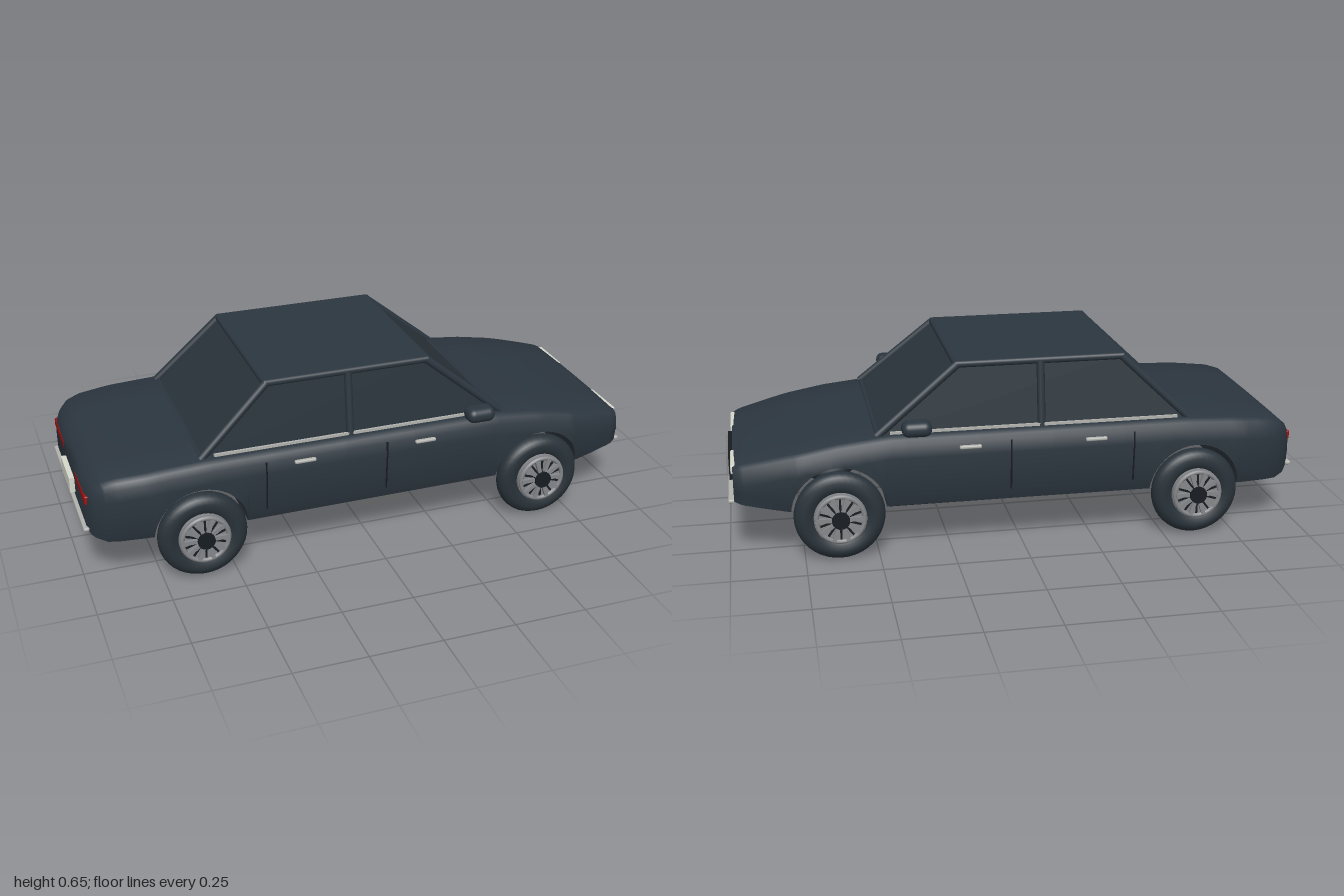
import * as THREE from 'three';
import { toCreasedNormals } from 'three/addons/utils/BufferGeometryUtils.js';
import { RoundedBoxGeometry } from 'three/addons/geometries/RoundedBoxGeometry.js';

const mat = (name, color) => {
  const m = new THREE.MeshStandardMaterial({ color });
  m.name = name;
  return m;
};

// Linear lookup in a short list of [x, value] pairs
function lookup(keys, x) {
  if (x <= keys[0][0]) return keys[0][1];
  for (let i = 1; i < keys.length; i++) {
    const [x0, a] = keys[i - 1], [x1, b] = keys[i];
    if (x <= x1) return a + (b - a) * (x - x0) / (x1 - x0);
  }
  return keys[keys.length - 1][1];
}

const WHEELS = [-0.61, 0.63], ARCH_R = 0.16, ARCH_Y = 0.167;
const TOP = [[-0.98, 0.325], [-0.965, 0.352], [-0.93, 0.382], [-0.88, 0.396], [-0.75, 0.407], [-0.58, 0.415],
  [0.45, 0.416], [0.63, 0.397], [0.8, 0.366], [0.95, 0.333], [0.975, 0.322]];
const BOTTOM = [[-0.98, 0.2], [-0.965, 0.183], [-0.92, 0.167], [0.79, 0.172], [0.94, 0.197], [0.975, 0.207]];
const WIDTH = [[-0.98, 0.3], [-0.955, 0.34], [-0.92, 0.362], [-0.88, 0.373], [-0.78, 0.386],
  [0.76, 0.386], [0.87, 0.363], [0.955, 0.34], [0.975, 0.325]];

// Lower body: cross-sections lofted along x, the bottom edge following the wheel arches
function bodyGeometry() {
  const xs = [-0.98, -0.965, -0.955, -0.93, -0.92, -0.88, -0.84, -0.8, -0.35, -0.1, 0.15, 0.4, 0.45, 0.82, 0.87, 0.94, 0.955, 0.975];
  for (const c of WHEELS) for (let i = 0; i <= 20; i++) xs.push(c + ARCH_R * Math.cos(i * Math.PI / 20));
  xs.sort((a, b) => a - b);
  const pos = [], idx = [];
  let n = 0;
  for (const x of xs) {
    const t = lookup(TOP, x), w = lookup(WIDTH, x);
    let b = lookup(BOTTOM, x);
    for (const c of WHEELS) {
      const d = ARCH_R ** 2 - (x - c) ** 2;
      if (d > 0) b = Math.max(b, ARCH_Y + Math.sqrt(d));
    }
    const inset = y => lookup([[0.165, 0.94], [0.2, 0.975], [0.27, 1]], y);
    const low = Math.min(b + 0.04, Math.max(b, t - 0.075));
    const half = [[0.5, t + 0.002], [0.9, t], [0.955, t - 0.01], [0.985, t - 0.03],
      [1, Math.max(b, t - 0.07)], [inset(low), low], [inset(b), b]];
    const ring = [[0, t + 0.003], ...half, [0, b], ...half.slice().reverse().map(([z, y]) => [-z, y])];
    n = ring.length;
    for (const [z, y] of ring) pos.push(x, y, z * w);
  }
  for (let i = 0; i < xs.length - 1; i++) {
    for (let j = 0; j < n; j++) {
      const a = i * n + j, b = i * n + (j + 1) % n;
      idx.push(a, b, b + n, a, b + n, a + n);
    }
  }
  // End caps
  const last = (xs.length - 1) * n;
  for (let j = 1; j < n - 1; j++) {
    idx.push(0, j + 1, j);
    idx.push(last, last + j, last + j + 1);
  }
  const g = new THREE.BufferGeometry();
  g.setAttribute('position', new THREE.Float32BufferAttribute(pos, 3));
  g.setIndex(idx);
  return toCreasedNormals(g, 0.7);
}

export function createModel() {
  const car = new THREE.Group();
  car.name = 'car';
  const paint = mat('slate paint', 0x2c363f);
  const glass = mat('dark glass', 0x2a343c);
  const rubber = mat('tyre rubber', 0x29333a);
  const trim = mat('black trim', 0x171c21);
  const chrome = mat('chrome', 0xb2b2ae);
  const alloy = mat('grey alloy', 0x85878a);
  const lamp = mat('pale lamp', 0xd6d8cc);
  const red = mat('red lamp', 0x9c1212);

  const add = (name, geometry, material, x = 0, y = 0, z = 0, parent = car) => {
    const m = new THREE.Mesh(geometry, material);
    m.name = name;
    m.position.set(x, y, z);
    parent.add(m);
    return m;
  };
  const box = (name, sx, sy, sz, material, x, y, z, parent) =>
    add(name, new THREE.BoxGeometry(sx, sy, sz), material, x, y, z, parent);
  const bar = (name, a, b, r, material) => add(name,
    new THREE.TubeGeometry(new THREE.LineCurve3(new THREE.Vector3(...a), new THREE.Vector3(...b)), 1, r, 10), material);

  add('body', bodyGeometry(), paint);
  box('underfloor', 0.9, 0.015, 0.67, trim, 0.01, 0.165, 0);

  // Cabin: a box drawn in towards the roof
  const cabin = new THREE.BoxGeometry(1, 1, 1);
  const p = cabin.attributes.position;
  for (let i = 0; i < p.count; i++) {
    const up = p.getY(i) > 0, front = p.getX(i) > 0;
    p.setXYZ(i, up ? (front ? 0.215 : -0.355) : (front ? 0.495 : -0.595),
      up ? 0.64 : 0.405, Math.sign(p.getZ(i)) * (up ? 0.298 : 0.328));
  }
  cabin.computeVertexNormals();
  add('windows', cabin, glass);
  add('roof', new RoundedBoxGeometry(0.6, 0.024, 0.62, 3, 0.011), paint, -0.07, 0.638, 0);
  bar('windscreenBase', [0.49, 0.41, -0.325], [0.49, 0.41, 0.325], 0.01, paint);
  bar('rearWindowBase', [-0.59, 0.41, -0.325], [-0.59, 0.41, 0.325], 0.01, paint);

  for (const s of [1, -1]) {
    bar('frontPillar', [0.495, 0.41, s * 0.328], [0.215, 0.638, s * 0.298], 0.014, paint);
    bar('rearPillar', [-0.595, 0.41, s * 0.328], [-0.355, 0.638, s * 0.298], 0.014, paint);
    bar('centrePillar', [-0.07, 0.41, s * 0.328], [-0.07, 0.638, s * 0.3], 0.014, paint);
    box('windowStrip', 1.0, 0.01, 0.008, chrome, -0.05, 0.42, s * 0.334);
    for (const x of [-0.25, 0.185]) {
      add('doorHandle', new RoundedBoxGeometry(0.075, 0.012, 0.016, 2, 0.005), chrome, x, 0.373, s * 0.386);
    }
    // Door seams follow the flank as two thin strips
    for (const x of [-0.385, 0.045]) {
      bar('doorSeam', [x, 0.39, s * 0.383], [x, 0.34, s * 0.385], 0.003, trim);
      bar('doorSeam', [x, 0.34, s * 0.385], [x, 0.21, s * 0.378], 0.003, trim);
    }
    add('mirror', new RoundedBoxGeometry(0.1, 0.052, 0.07, 4, 0.024), paint, 0.37, 0.46, s * 0.415);
    add('headlight', new RoundedBoxGeometry(0.03, 0.032, 0.165, 2, 0.006), lamp, 0.967, 0.31, s * 0.212);
    add('tailLight', new RoundedBoxGeometry(0.02, 0.032, 0.19, 2, 0.005), red, -0.972, 0.312, s * 0.21);
  }

  // Nose and tail fittings
  box('grille', 0.03, 0.09, 0.26, trim, 0.975, 0.26, 0);
  for (let i = 0; i < 13; i++) box('grilleBar', 0.01, 0.074, 0.006, alloy, 0.993, 0.261, (i - 6) * 0.0183);
  add('frontBumper', new RoundedBoxGeometry(0.024, 0.013, 0.63, 2, 0.005), chrome, 0.983, 0.206, 0);
  add('rearBumper', new RoundedBoxGeometry(0.02, 0.013, 0.62, 2, 0.005), chrome, -0.983, 0.206, 0);
  box('numberPlate', 0.02, 0.055, 0.17, lamp, -0.988, 0.257, 0);

  // Wheels: axis turned to z, outer face towards local +z
  const tyreProfile = [[0.088, -0.025], [0.1, -0.033], [0.125, -0.035], [0.143, -0.027], [0.152, -0.012], [0.154, 0],
    [0.152, 0.012], [0.143, 0.027], [0.125, 0.035], [0.1, 0.033], [0.088, 0.025], [0.088, -0.025]]
    .map(([r, y]) => new THREE.Vector2(r, y));
  const tyre = toCreasedNormals(new THREE.LatheGeometry(tyreProfile, 40).rotateX(Math.PI / 2), 0.8);
  const disc = (r, d) => new THREE.CylinderGeometry(r, r, d, 32).rotateX(Math.PI / 2);
  for (const x of WHEELS) for (const s of [1, -1]) {
    const wheel = new THREE.Group();
    wheel.name = 'wheel';
    wheel.position.set(x, 0.155, s * 0.37);
    if (s < 0) wheel.rotation.y = Math.PI;
    car.add(wheel);
    add('tyre', tyre, rubber, 0, 0, 0, wheel);
    add('rim', disc(0.089, 0.05), alloy, 0, 0, 0.015, wheel);
    add('rimRing', new THREE.TorusGeometry(0.08, 0.008, 8, 32), alloy, 0, 0, 0.043, wheel);
    add('hub', disc(0.03, 0.05), trim, 0, 0, 0.035, wheel);
    for (let i = 0; i < 10; i++) {
      const a = (i + 0.5) * Math.PI / 5;
      const gap = box('spokeGap', 0.05, 0.007, 0.004, trim, Math.cos(a) * 0.05, Math.sin(a) * 0.05, 0.041, wheel);
      gap.rotation.z = a;
      const b = i * Math.PI / 5;
      const spoke = box('spoke', 0.055, 0.014, 0.014, alloy, Math.cos(b) * 0.05, Math.sin(b) * 0.05, 0.045, wheel);
      spoke.rotation.z = b;
    }
    box('innerBrace', 0.165, 0.025, 0.015, trim, 0, 0, -0.014, wheel);
  }
  return car;
}
